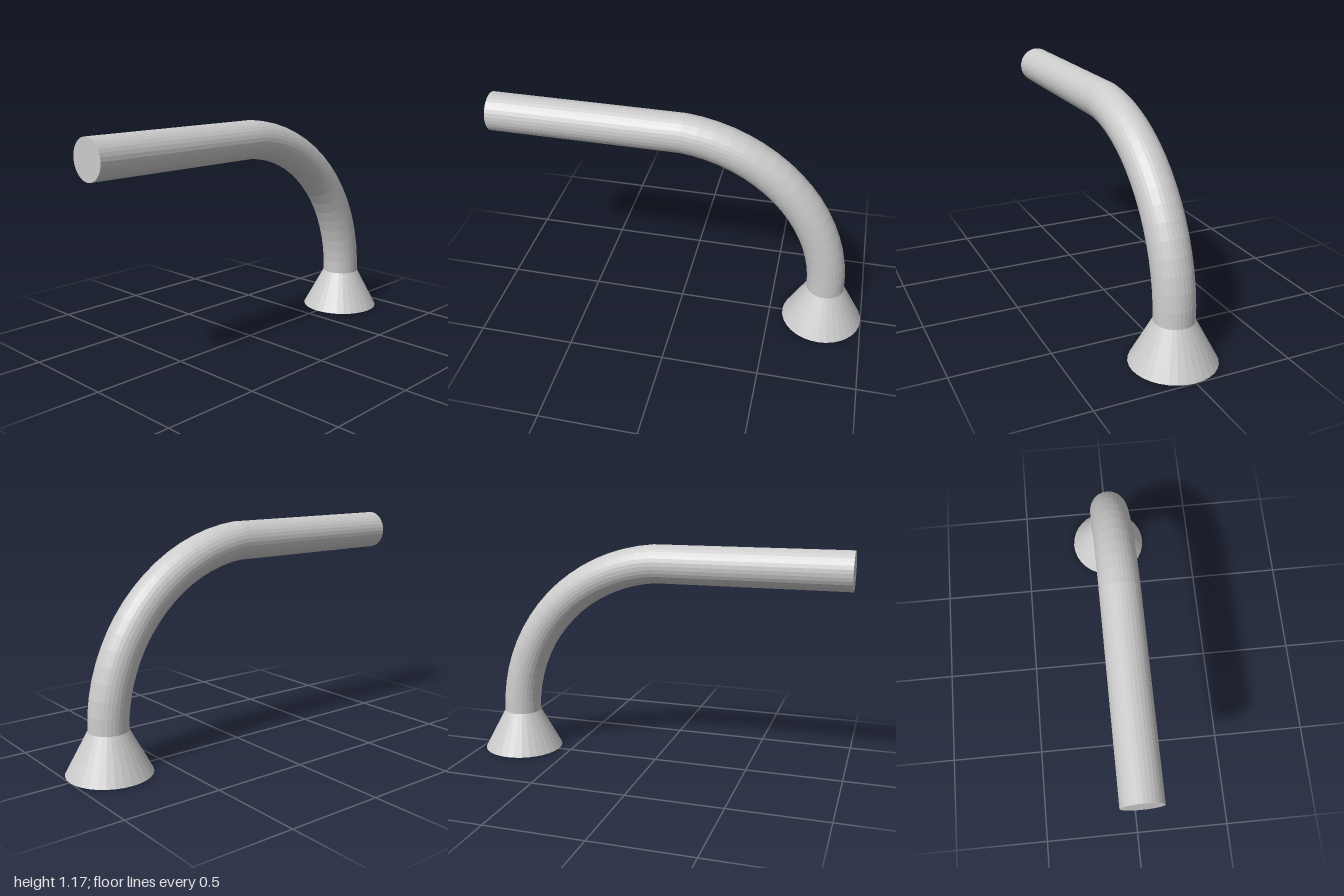
import * as THREE from 'three';

const SIDES = 32;
const PIPE_R = 0.1;
const FLARE = 0.2145;    // height and foot radius of the base
const BEND_R = 0.858;
const BASE_Z = -1 + FLARE;

// Sweep a round section along the bend in 5 degree steps, then out to the front end
function pipeGeometry() {
  const pos = [], index = [];
  const steps = 18;
  for (let i = 0; i <= steps; i++) {
    const a = (i / steps) * Math.PI / 2;
    const s = Math.sin(a), c = Math.cos(a);
    const cy = FLARE + BEND_R * s;
    const cz = i === steps ? 1 : BASE_Z + BEND_R * (1 - c);
    for (let j = 0; j < SIDES; j++) {
      const p = (j / SIDES) * Math.PI * 2;
      const out = PIPE_R * Math.sin(p);
      pos.push(PIPE_R * Math.cos(p), cy + out * s, cz - out * c);
    }
  }
  for (let i = 0; i < steps; i++) {
    for (let j = 0; j < SIDES; j++) {
      const k = (j + 1) % SIDES;
      const a = i * SIDES + j, b = i * SIDES + k;
      index.push(a, b, a + SIDES, b, b + SIDES, a + SIDES);
    }
  }
  // Front end cap
  const last = steps * SIDES;
  for (let j = 1; j < SIDES - 1; j++) index.push(last, last + j, last + j + 1);

  const g = new THREE.BufferGeometry();
  g.setAttribute('position', new THREE.Float32BufferAttribute(pos, 3));
  g.setIndex(index);
  const flat = g.toNonIndexed();
  flat.computeVertexNormals();
  return flat;
}

export function createModel() {
  const group = new THREE.Group();
  group.name = 'bentPipe';
  const material = new THREE.MeshStandardMaterial({ color: 0xcccccc, flatShading: true });

  // Flared foot
  const base = new THREE.Mesh(new THREE.CylinderGeometry(PIPE_R, FLARE, FLARE, SIDES), material);
  base.name = 'flaredBase';
  base.position.set(0, FLARE / 2, BASE_Z);
  group.add(base);

  // Curved riser and straight arm
  const pipe = new THREE.Mesh(pipeGeometry(), material);
  pipe.name = 'pipe';
  group.add(pipe);

  return group;
}
